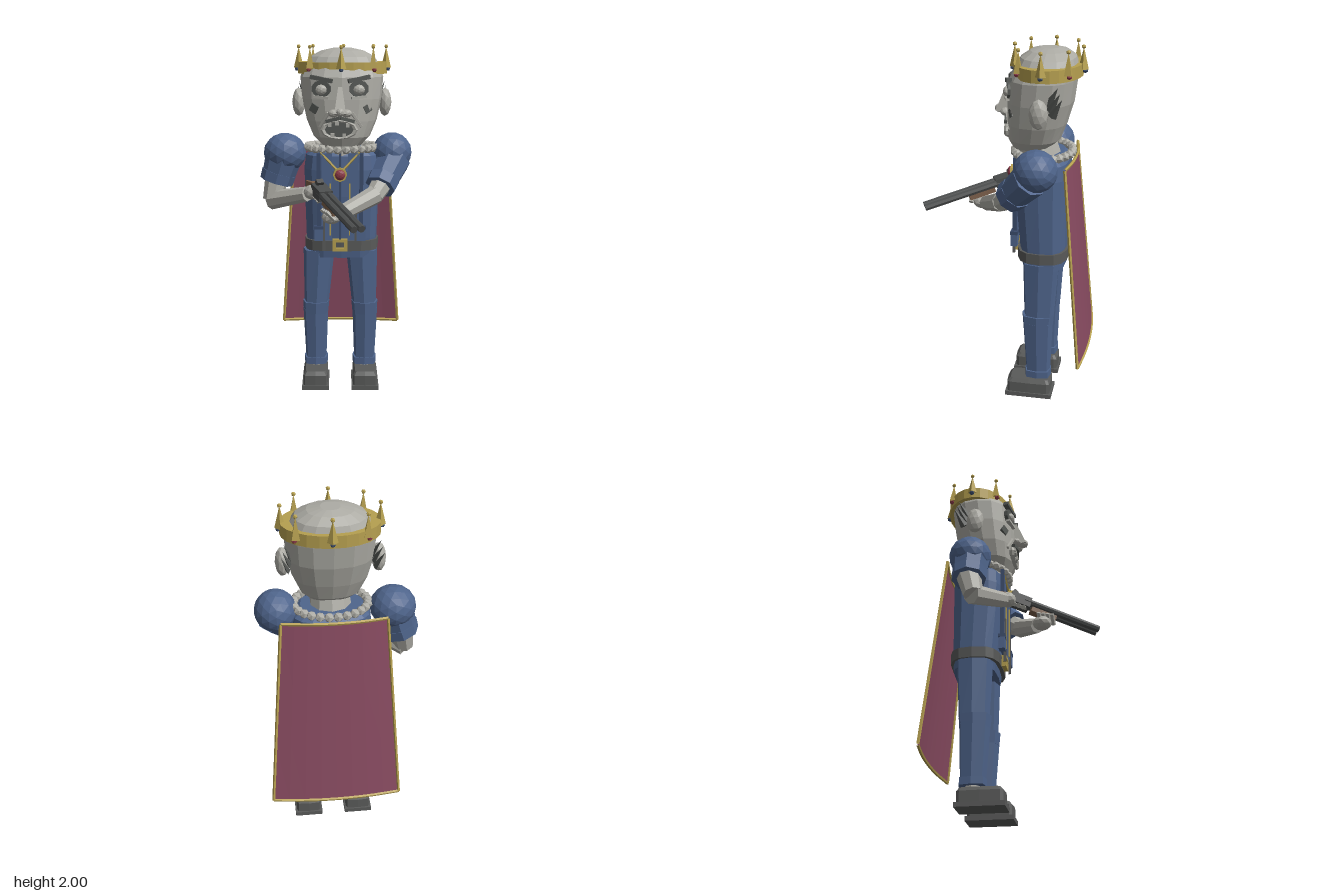
import * as THREE from 'three';

const mat = (name, color, side = THREE.FrontSide) => {
  const m = new THREE.MeshStandardMaterial({ color, flatShading: true, side });
  m.name = name;
  return m;
};
const V = (x, y, z) => new THREE.Vector3(x, y, z);
const CX = 0.037; // body midline

export function createModel() {
  const root = new THREE.Group();
  const skin = mat('ashen skin', 0xadaca5), blue = mat('blue cloth', 0x4f658c);
  const navy = mat('dark blue trim', 0x3b4c6c), dark = mat('dark leather', 0x5a5b5a);
  const metal = mat('gun metal', 0x4b4d4d), gold = mat('gold', 0xb6a050);
  const red = mat('ruby', 0x8c3a48), wood = mat('wood', 0x7b5f4a);
  const wine = mat('wine cape', 0x8a4c62, THREE.DoubleSide), shade = mat('deep shadow grey', 0x555855);

  const add = (name, geo, m, p = [0, 0, 0], r = [0, 0, 0], s = [1, 1, 1]) => {
    const mesh = new THREE.Mesh(geo, m);
    mesh.name = name;
    mesh.position.set(...p);
    mesh.rotation.set(...r);
    mesh.scale.set(...s);
    root.add(mesh);
    return mesh;
  };
  const box = (name, m, size, p, r) => add(name, new THREE.BoxGeometry(...size), m, p, r);
  const ball = (name, m, r, p, s, d = 1) => add(name, new THREE.IcosahedronGeometry(r, d), m, p, [0, 0, 0], s);
  // Tapered limb between two points
  const limb = (name, m, a, b, r1, r2, n = 8) => {
    const A = V(...a), B = V(...b), d = B.clone().sub(A);
    const mesh = add(name, new THREE.CylinderGeometry(r2, r1, d.length(), n), m);
    mesh.position.copy(A).addScaledVector(d, 0.5);
    mesh.quaternion.setFromUnitVectors(V(0, 1, 0), d.normalize());
    return mesh;
  };
  // Closed body from stacked rounded sections: [y, cx, cz, rx, rz]
  const loft = (name, m, rows, n = 16, e = 2.4) => {
    const pos = [], idx = [], k = (c) => Math.sign(c) * Math.abs(c) ** (2 / e);
    for (const [y, cx, cz, rx, rz] of rows)
      for (let j = 0; j < n; j++) {
        const a = (j / n) * Math.PI * 2;
        pos.push(cx + rx * k(Math.cos(a)), y, cz + rz * k(Math.sin(a)));
      }
    const last = rows.length - 1, bot = pos.length / 3;
    for (const r of [rows[0], rows[last]]) pos.push(r[1], r[0], r[2]);
    for (let j = 0; j < n; j++) {
      const q = (j + 1) % n;
      for (let i = 0; i < last; i++) {
        const a = i * n + j, b = i * n + q;
        idx.push(a, a + n, b, b, a + n, b + n);
      }
      idx.push(bot, j, q, bot + 1, last * n + q, last * n + j);
    }
    const g = new THREE.BufferGeometry();
    g.setAttribute('position', new THREE.Float32BufferAttribute(pos, 3));
    g.setIndex(idx);
    g.computeVertexNormals();
    return add(name, g, m);
  };

  // Head
  loft('head', skin, [
    [1.44, CX, -0.13, 0.11, 0.1], [1.49, CX, -0.145, 0.16, 0.14], [1.58, CX, -0.16, 0.198, 0.16],
    [1.7, CX, -0.178, 0.225, 0.177], [1.82, CX, -0.19, 0.234, 0.18], [1.885, 0.04, -0.21, 0.21, 0.165],
    [1.93, 0.04, -0.215, 0.18, 0.145], [1.962, 0.04, -0.218, 0.12, 0.1], [1.977, 0.04, -0.22, 0.05, 0.05],
  ], 16, 2.3);
  limb('neck', skin, [CX, 1.36, -0.18], [CX, 1.48, -0.16], 0.12, 0.1, 10);

  // Face
  for (const s of [-1, 1]) {
    const x = 0.027 + s * 0.103;
    add('eyeSocket', new THREE.CylinderGeometry(0.055, 0.055, 0.02, 10), shade, [x, 1.76, -0.02],
      [Math.PI / 2, 0, -s * 0.25], [1, 1, 0.85]);
    ball('eyeball', skin, 0.034, [x, 1.755, -0.012], [1, 0.85, 0.7]);
    box('lowerLid', skin, [0.085, 0.014, 0.025], [x, 1.714, -0.012], [0, s * 0.25, s * 0.1]);
    box('brow', shade, [0.125, 0.022, 0.03], [x, 1.813, -0.018], [0, s * 0.25, s * 0.18]);
    box('cheekScar', shade, [0.045, 0.045, 0.02], [0.03 + s * 0.145, 1.65, -0.045], [0, s * 0.55, s * 0.5]);
    limb('cheekFold', skin, [0.027 + s * 0.065, 1.63, -0.004], [0.03 + s * 0.115, 1.55, -0.028], 0.012, 0.01, 5);
    ball('nostril', skin, 0.028, [0.027 + s * 0.036, 1.628, 0.012], [1.1, 0.8, 1]);
    box('moustache', shade, [0.08, 0.018, 0.024], [0.027 + s * 0.04, 1.592, 0.004], [0, s * 0.15, -s * 0.25]);
    // Ears and tufts behind them
    ball('ear', skin, 0.05, [CX + s * 0.245, 1.675, -0.2], [0.75, 1.6, 1]);
    for (let i = 0; i < 3; i++)
      add('hairTuft', new THREE.ConeGeometry(0.03, 0.12, 4), shade,
        [CX + s * (0.222 + i * 0.008), 1.765 - i * 0.028, -0.27 - i * 0.012], [-0.5, 0, -s * 0.3], [0.4, 1, 0.8]);
  }
  const nose = add('nose', new THREE.CylinderGeometry(0.016, 0.045, 0.15, 4, 1), skin, [0.027, 1.695, 0.018], [-0.25, 0, 0]);
  nose.geometry.rotateY(Math.PI / 4);
  ball('noseTip', skin, 0.028, [0.027, 1.637, 0.05], [0.9, 0.85, 1]);
  add('mouth', new THREE.CylinderGeometry(0.085, 0.085, 0.02, 10), shade, [0.022, 1.537, -0.01], [Math.PI / 2, 0, 0], [1, 1, 0.5]);
  add('lips', new THREE.TorusGeometry(0.09, 0.014, 5, 12), skin, [0.022, 1.537, -0.003], [0, 0, 0], [1, 0.52, 1]);
  for (const [x, y] of [[-0.03, 1.566], [0.01, 1.572], [0.07, 1.563], [-0.015, 1.508], [0.05, 1.506]])
    box('tooth', skin, [0.02, 0.022, 0.014], [x, y, 0.004]);

  // Crown: open band with eight jewelled spikes
  const hoop = (r, h) => { const p = new THREE.Path(); p.absellipse(0, 0, r, h, 0, Math.PI * 2, true); return p; };
  const band = new THREE.Shape(hoop(0.252, 0.182).getPoints(12));
  band.holes.push(new THREE.Path(hoop(0.185, 0.145).getPoints(12)));
  add('crownBand', new THREE.ExtrudeGeometry(band, { depth: 0.065, bevelEnabled: false }).rotateX(-Math.PI / 2),
    gold, [0.04, 1.835, -0.215], [0, -0.03, 0]);
  for (let i = 0; i < 8; i++) {
    const a = (i / 8) * Math.PI * 2 + 0.03, c = Math.cos(a), s = Math.sin(a);
    const x = 0.04 + 0.247 * c, z = -0.215 + 0.182 * s;
    add('crownSpike', new THREE.ConeGeometry(0.028, 0.115, 4), gold, [x, 1.925, z], [0, -a, 0]);
    ball('spikeBall', gold, 0.012, [x, 1.985, z], [1, 1, 1], 0);
    ball('crownJewel', i % 2 ? red : navy, 0.015, [x + 0.01 * c, 1.862, z + 0.01 * s], [1, 1, 1], 0);
  }

  // Torso, belt and ruff
  loft('coat', blue, [
    [0.785, CX, -0.215, 0.2, 0.12], [0.9, CX, -0.21, 0.205, 0.13], [1.15, CX, -0.2, 0.212, 0.143],
    [1.3, CX, -0.2, 0.215, 0.146], [1.38, CX, -0.2, 0.205, 0.14], [1.415, CX, -0.195, 0.16, 0.11],
  ], 16, 3);
  loft('belt', dark, [[0.83, CX, -0.21, 0.213, 0.142], [0.89, CX, -0.21, 0.214, 0.144]], 16, 3);
  const frame = new THREE.Shape([[-1, -1], [1, -1], [1, 1], [-1, 1]].map(([x, y]) => new THREE.Vector2(x * 0.042, y * 0.036)));
  frame.holes.push(new THREE.Path([[-1, -1], [-1, 1], [1, 1], [1, -1]].map(([x, y]) => new THREE.Vector2(x * 0.022, y * 0.018))));
  add('buckle', new THREE.ExtrudeGeometry(frame, { depth: 0.025, bevelEnabled: false }), gold, [0.027, 0.87, -0.07]);
  for (let i = 0; i < 26; i++) {
    const a = (i / 26) * Math.PI * 2;
    ball('ruffBead', skin, 0.027, [CX + 0.195 * Math.cos(a), 1.42, -0.195 + 0.155 * Math.sin(a)], [1, 1, 1], 0);
  }
  for (const s of [-1, 1]) {
    const x = 0.027 + s * 0.12;
    box('lapel', blue, [0.06, 0.5, 0.02], [0.027 + s * 0.075, 1.15, -0.057]);
    box('strap', navy, [0.022, 0.5, 0.02], [x, 1.15, -0.056]);
    box('goldPiping', gold, [0.007, 0.3, 0.01], [0.027 + s * 0.055, 1.08, -0.045]);
    box('pouch', blue, [0.05, 0.075, 0.035], [x, 0.935, -0.055]);
    box('pouchFlap', navy, [0.054, 0.02, 0.04], [x, 0.975, -0.055]);
    box('hangingStrap', dark, [0.012, 0.26, 0.015], [x - s * 0.03, 0.97, -0.045]);
    limb('necklace', gold, [0.027 + s * 0.11, 1.405, -0.055], [0.027, 1.29, -0.03], 0.007, 0.007, 5);
  }
  box('coatOpening', navy, [0.012, 0.5, 0.01], [0.027, 1.15, -0.054]);
  add('pendantRim', new THREE.CylinderGeometry(0.04, 0.04, 0.025, 8), gold, [0.027, 1.283, -0.025], [Math.PI / 2, 0, 0]);
  ball('pendantGem', red, 0.03, [0.027, 1.283, -0.01], [1, 1, 0.6]);

  // Legs and shoes
  for (const s of [-1, 1]) {
    const x = (t) => 0.03 + s * t;
    loft('upperLeg', blue, [[0.46, x(0.142), -0.2, 0.07, 0.082], [0.82, x(0.125), -0.205, 0.092, 0.1]], 8, 3);
    loft('kneePatch', blue, [[0.435, x(0.145), -0.195, 0.073, 0.084], [0.505, x(0.143), -0.195, 0.078, 0.09]], 8, 3);
    loft('lowerLeg', blue, [[0.13, x(0.144), -0.2, 0.06, 0.068], [0.46, x(0.146), -0.195, 0.074, 0.085]], 8, 3);
    loft('trouserCuff', blue, [[0.12, x(0.144), -0.2, 0.07, 0.074], [0.16, x(0.144), -0.2, 0.07, 0.074]], 8, 4);
    limb('ankle', skin, [x(0.144), 0.08, -0.2], [x(0.144), 0.14, -0.2], 0.045, 0.045);
    box('sole', dark, [0.158, 0.025, 0.265], [x(0.146), 0.0125, -0.152]);
    loft('shoe', dark, [[0.02, x(0.146), -0.152, 0.073, 0.126], [0.085, x(0.146), -0.152, 0.073, 0.126],
      [0.106, x(0.146), -0.155, 0.06, 0.11]], 12, 8);
  }

  // Arms: puffed shoulders, short sleeves and bare forearms
  ball('leftShoulder', blue, 0.114, [0.325, 1.388, -0.195], [1, 1, 1.03], 2);
  ball('rightShoulder', blue, 0.114, [-0.29, 1.383, -0.205], [1.08, 1, 1.03], 2);
  limb('leftSleeve', blue, [0.335, 1.35, -0.17], [0.262, 1.225, -0.06], 0.1, 0.083);
  limb('leftSleeveCuff', blue, [0.275, 1.25, -0.085], [0.252, 1.21, -0.045], 0.092, 0.088);
  limb('leftElbow', skin, [0.262, 1.225, -0.06], [0.215, 1.165, 0.01], 0.062, 0.052);
  limb('leftForearm', skin, [0.225, 1.175, 0], [0.02, 1.085, 0.13], 0.055, 0.042);
  ball('leftHand', skin, 0.05, [-0.02, 1.08, 0.16], [1.1, 0.8, 1.1]);
  limb('rightSleeve', blue, [-0.3, 1.35, -0.2], [-0.335, 1.23, -0.2], 0.105, 0.092);
  limb('rightSleeveCuff', blue, [-0.325, 1.27, -0.2], [-0.342, 1.215, -0.2], 0.1, 0.096);
  limb('rightElbow', skin, [-0.34, 1.23, -0.2], [-0.365, 1.11, -0.17], 0.068, 0.055);
  limb('rightForearm', skin, [-0.37, 1.11, -0.18], [-0.16, 1.17, -0.04], 0.056, 0.043);
  ball('rightHand', skin, 0.048, [-0.13, 1.185, -0.02], [1, 0.9, 1]);
  for (let i = 0; i < 4; i++) {
    const t = i * 0.024;
    limb('leftFinger', skin, [-0.03 + t * 0.4, 1.075, 0.15 + t], [-0.075 + t * 0.4, 1.12, 0.148 + t], 0.014, 0.012, 6);
    limb('rightFinger', skin, [-0.13 + t * 0.4, 1.17 - t * 0.3, -0.01 + t], [-0.085 + t * 0.4, 1.185 - t * 0.3, t], 0.014, 0.012, 6);
  }

  // Twin-barrelled gun, built along +z then aimed
  const gun = new THREE.Group();
  gun.name = 'gun';
  const part = (name, geo, m, x, y, z, rx = 0) => {
    const p = add(name, geo, m, [x, y, z], [rx, 0, 0]);
    gun.add(p);
  };
  for (const s of [-1, 1])
    part('barrel', new THREE.CylinderGeometry(0.02, 0.02, 0.46, 8), metal, s * 0.022, 0, 0.25, Math.PI / 2);
  part('receiver', new THREE.BoxGeometry(0.08, 0.06, 0.12), metal, 0, -0.005, 0);
  part('hammer', new THREE.BoxGeometry(0.04, 0.03, 0.03), metal, 0, 0.035, -0.04, 0.4);
  part('foreEnd', new THREE.BoxGeometry(0.055, 0.04, 0.15), wood, 0, -0.025, 0.15);
  part('stock', new THREE.BoxGeometry(0.045, 0.055, 0.13), wood, 0, -0.02, -0.11, -0.25);
  gun.position.set(-0.075, 1.2, 0.04);
  gun.lookAt(0.12, 1.075, 0.465);
  root.add(gun);

  // Cape: flared curved sheet with gold edging; u from -1 to 1, t from top to hem
  const cape = (u, t) => V(0.032 + u * (0.275 + 0.08 * t), 1.395 - 1.1 * t, -0.345 - 0.103 * t - 0.027 * (1 - u * u));
  const sheet = new THREE.PlaneGeometry(2, 1, 8, 3), p = sheet.attributes.position;
  for (let i = 0; i < p.count; i++) p.setXYZ(i, ...cape(p.getX(i), 0.5 - p.getY(i)).toArray());
  sheet.computeVertexNormals();
  add('cape', sheet, wine);
  const steps = [-1, -0.5, 0, 0.5, 1];
  for (const e of [-1, 1]) {
    for (const pts of [steps.map((u) => cape(u, (e + 1) / 2)), steps.map((v) => cape(e, (v + 1) / 2))])
      add('capeTrim', new THREE.TubeGeometry(new THREE.CatmullRomCurve3(pts), 10, 0.009, 5), gold);
  }
  return root;
}
